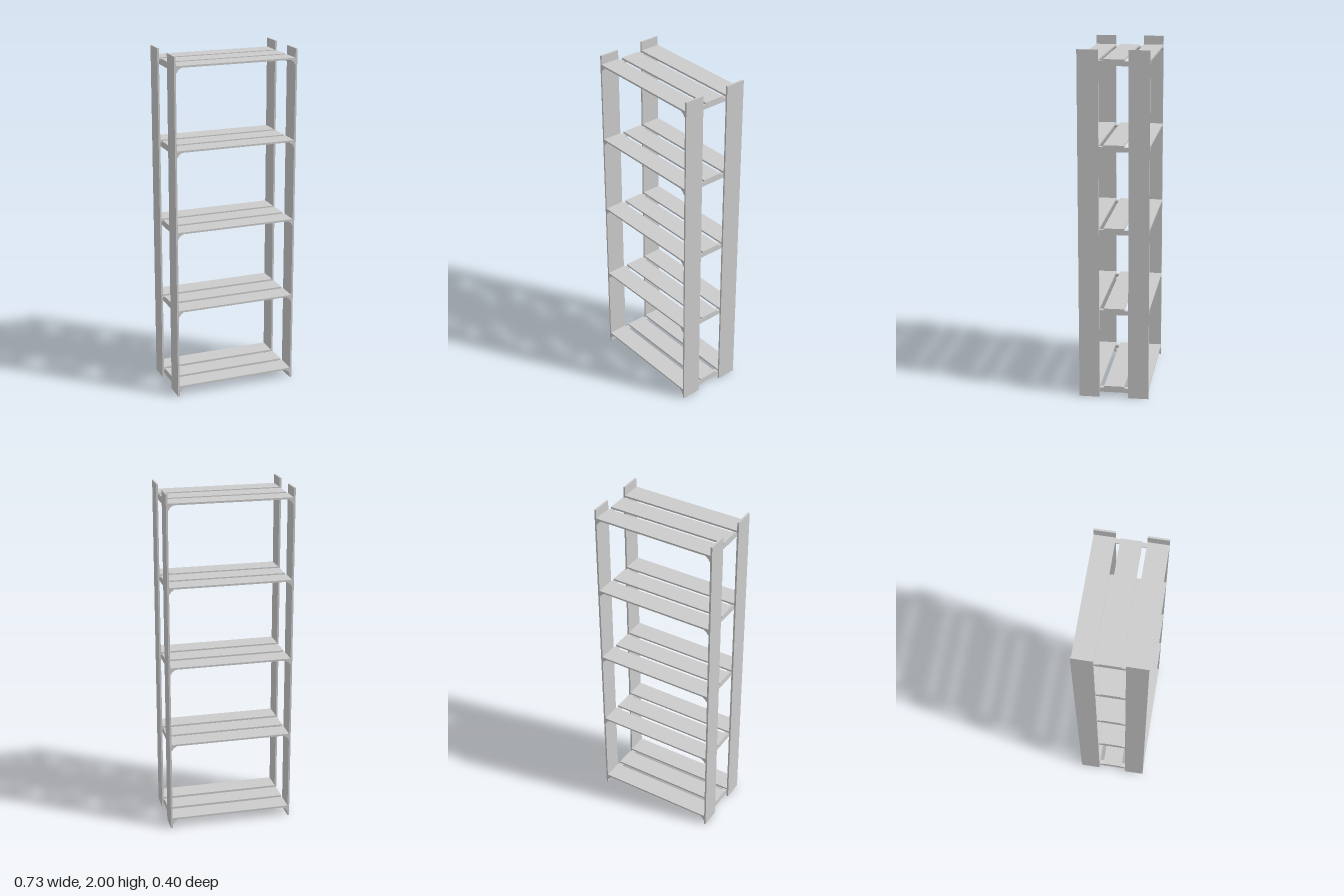
import * as THREE from 'three';

const material = new THREE.MeshStandardMaterial({ color: 0xcccccc, flatShading: true });

const HEIGHT = 2, DEPTH = 0.4;
const PLANK = 0.117, THICK = 0.0105; // shared plank width and thickness
const INNER = 0.3525;                // half the clear width between uprights
const OUTER_Z = DEPTH / 2 - PLANK / 2;
const SHELVES = 5, FIRST_TOP = 0.064, STEP = 0.471;

function box(name, w, h, d, x, y, z) {
  const mesh = new THREE.Mesh(new THREE.BoxGeometry(w, h, d), material);
  mesh.name = name;
  mesh.position.set(x, y, z);
  return mesh;
}

// Cove moulding: square lips at both ends of a hollow curve, top corner at the origin
function coveGeometry() {
  const leg = 0.026, lip = 0.006;
  const s = new THREE.Shape();
  s.moveTo(0, 0);
  s.lineTo(0, -leg);
  s.lineTo(lip, -leg);
  s.lineTo(lip, -leg + lip);
  s.lineTo(lip + 0.003, -leg + lip);
  s.quadraticCurveTo(lip + 0.004, -lip - 0.004, leg - lip, -lip - 0.003);
  s.lineTo(leg - lip, -lip);
  s.lineTo(leg, -lip);
  s.lineTo(leg, 0);
  s.closePath();
  return new THREE.ExtrudeGeometry(s, { depth: DEPTH, bevelEnabled: false, curveSegments: 5 })
    .translate(0, 0, -DEPTH / 2);
}

export function createModel() {
  const model = new THREE.Group();
  model.name = 'shelvingUnit';

  // Four flat uprights
  for (const sx of [-1, 1]) {
    for (const sz of [-1, 1]) {
      const name = (sz > 0 ? 'front' : 'back') + (sx > 0 ? 'Left' : 'Right') + 'Upright';
      model.add(box(name, THICK, HEIGHT, PLANK, sx * (INNER + THICK / 2), HEIGHT / 2, sz * OUTER_Z));
    }
  }

  // Shelves: three slats resting on a moulding at each end
  const cove = coveGeometry();
  for (let i = 0; i < SHELVES; i++) {
    const shelf = new THREE.Group();
    shelf.name = `shelf${i + 1}`;
    shelf.position.y = FIRST_TOP + i * STEP;
    ['backSlat', 'middleSlat', 'frontSlat'].forEach((name, k) => {
      shelf.add(box(name, INNER * 2, THICK, PLANK, 0, -THICK / 2, (k - 1) * OUTER_Z));
    });
    for (const side of [-1, 1]) {
      const support = new THREE.Mesh(cove, material);
      support.name = side > 0 ? 'leftSupport' : 'rightSupport';
      support.position.set(side * INNER, -THICK, 0);
      if (side > 0) support.rotation.y = Math.PI;
      shelf.add(support);
    }
    model.add(shelf);
  }
  return model;
}
